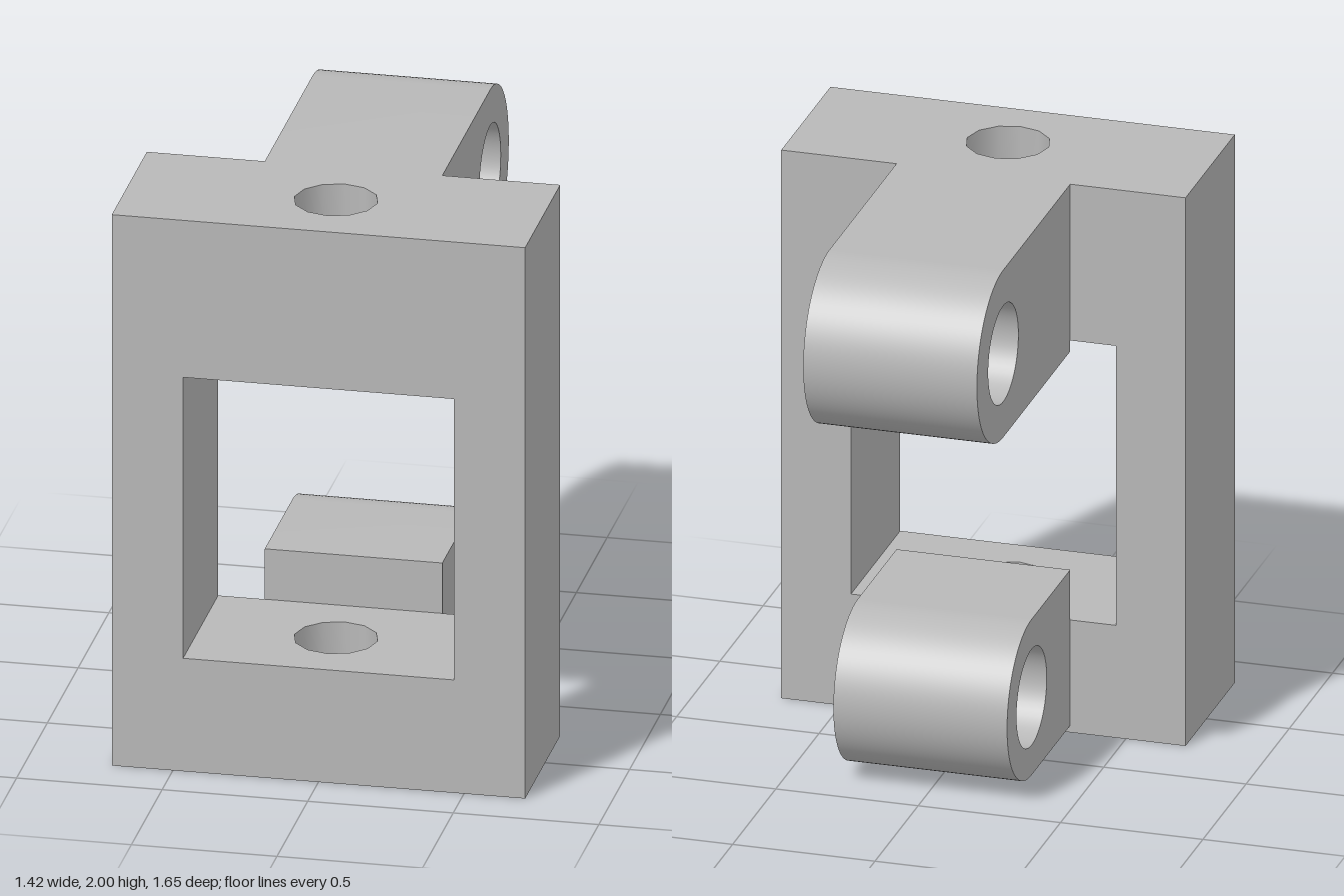
import * as THREE from 'three';
import { toCreasedNormals } from 'three/addons/utils/BufferGeometryUtils.js';

const BACK = 0.255, FRONT = 0.825, HALF_W = 0.71, HALF_WINDOW = 0.465;
const WINDOW_BOTTOM = 0.41, WINDOW_TOP = 1.43, HEIGHT = 2;
const LUG_WIDTH = 0.61;

export function createModel() {
  const model = new THREE.Group();
  const grey = new THREE.MeshStandardMaterial({ color: 0xb8b8b8 });
  grey.name = 'plain grey';

  function add(name, geometry) {
    const mesh = new THREE.Mesh(geometry, grey);
    mesh.name = name;
    model.add(mesh);
    return mesh;
  }

  function extrude(shape, depth, curveSegments) {
    const g = new THREE.ExtrudeGeometry(shape, { depth, curveSegments, bevelEnabled: false });
    return toCreasedNormals(g, 0.6);
  }

  function drill(shape, x, y, radius) {
    shape.holes.push(new THREE.Path().absarc(x, y, radius, 0, Math.PI * 2, true));
  }

  // Horizontal beam with a twelve-sided vertical bore
  function beam(name, y0, y1) {
    const s = new THREE.Shape();
    s.moveTo(-HALF_W, -FRONT);
    s.lineTo(HALF_W, -FRONT);
    s.lineTo(HALF_W, -BACK);
    s.lineTo(-HALF_W, -BACK);
    s.closePath();
    drill(s, 0, -(BACK + FRONT) / 2, 0.143);
    const g = extrude(s, y1 - y0, 6);
    g.rotateX(-Math.PI / 2).translate(0, y0, 0);
    add(name, g);
  }

  // Round-ended lug with a cross bore, reaching backwards from the frame
  function lug(name, y, z, radius) {
    const s = new THREE.Shape();
    s.moveTo(-BACK, y - radius);
    s.lineTo(-z, y - radius);
    s.absarc(-z, y, radius, -Math.PI / 2, Math.PI / 2, false);
    s.lineTo(-BACK, y + radius);
    s.closePath();
    drill(s, -z, y, 0.175);
    const g = extrude(s, LUG_WIDTH, 24);
    g.rotateY(Math.PI / 2).translate(-LUG_WIDTH / 2, 0, 0);
    add(name, g);
  }

  // Rectangular frame
  beam('bottomBeam', 0, WINDOW_BOTTOM);
  beam('topBeam', WINDOW_TOP, HEIGHT);
  for (const side of [-1, 1]) {
    const post = add(side > 0 ? 'leftPost' : 'rightPost', new THREE.BoxGeometry(
      HALF_W - HALF_WINDOW, WINDOW_TOP - WINDOW_BOTTOM, FRONT - BACK));
    post.position.set(side * (HALF_W + HALF_WINDOW) / 2,
      (WINDOW_TOP + WINDOW_BOTTOM) / 2, (FRONT + BACK) / 2);
  }

  // Hinge lugs
  lug('upperLug', 1.695, -0.52, 0.305);
  lug('lowerLug', 0.309, -0.192, 0.284);

  return model;
}
